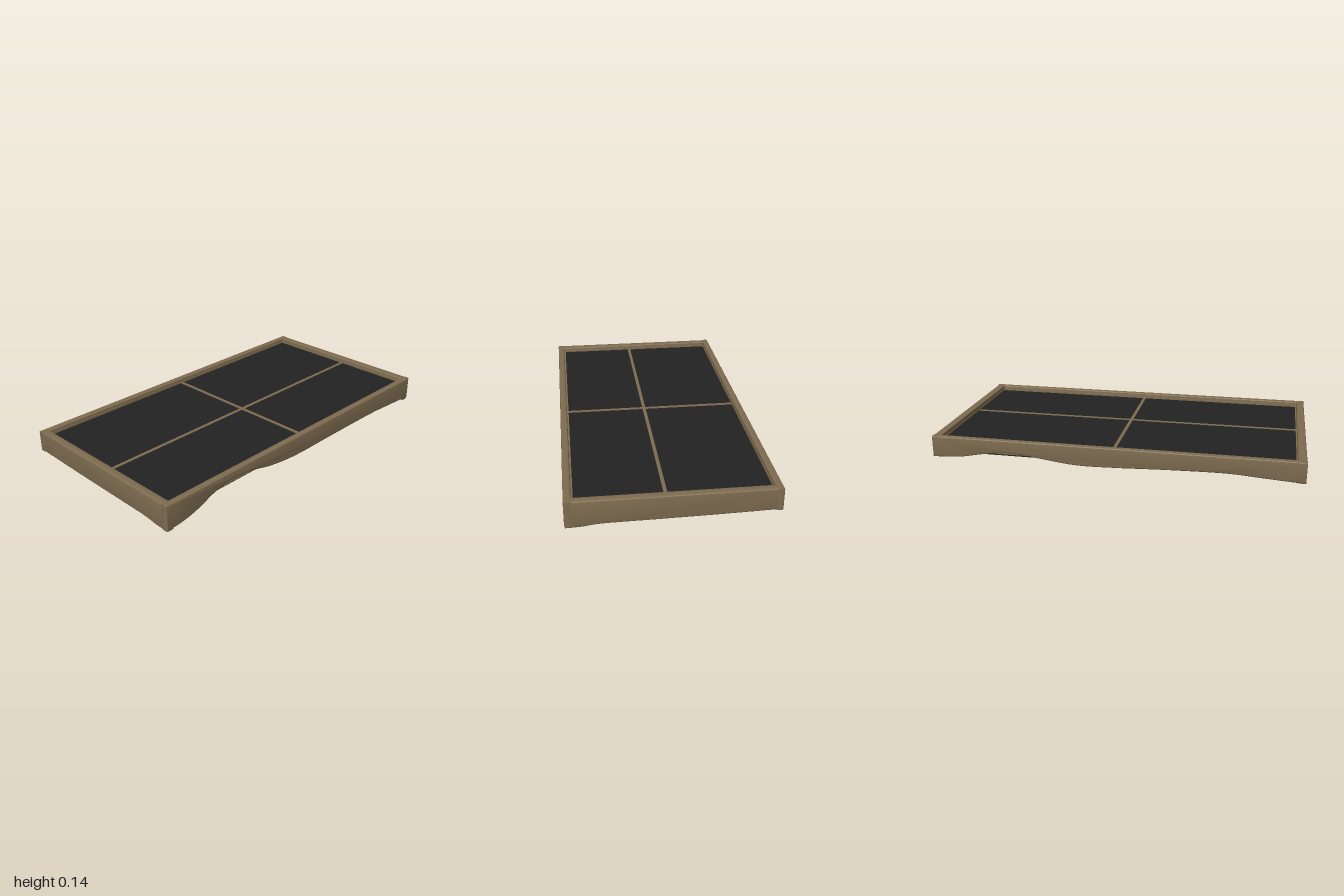
import * as THREE from 'three';
import { toCreasedNormals } from 'three/addons/utils/BufferGeometryUtils.js';

const TOP = 0.143;

// Wall cut from a plate: flat top, free-form lower edge, softly rounded corners
function wallGeometry(lowerEdge, thickness) {
  const curve = new THREE.SplineCurve(lowerEdge.map(([u, y]) => new THREE.Vector2(u, y)));
  const pts = curve.getPoints(48);
  const shape = new THREE.Shape();
  shape.moveTo(pts[0].x, TOP);
  pts.forEach((p) => shape.lineTo(p.x, p.y));
  shape.lineTo(pts[pts.length - 1].x, TOP);
  shape.closePath();
  const bevel = 0.007;
  const geo = new THREE.ExtrudeGeometry(shape, {
    depth: thickness - 2 * bevel, bevelEnabled: true, bevelThickness: bevel,
    bevelSize: bevel, bevelOffset: -bevel, bevelSegments: 3,
  });
  geo.translate(0, 0, bevel - thickness / 2);
  return toCreasedNormals(geo, 0.6);
}

export function createModel() {
  const model = new THREE.Group();
  model.name = 'framedPanel';
  const wood = new THREE.MeshStandardMaterial({ color: 0x7e6c50 });
  wood.name = 'brown frame';
  const dark = new THREE.MeshStandardMaterial({ color: 0x222222 });
  dark.name = 'dark panel';

  const add = (name, geo, mat) => {
    const mesh = new THREE.Mesh(geo, mat);
    mesh.name = name;
    model.add(mesh);
    return mesh;
  };
  const box = (name, mat, x0, x1, y0, y1, z0, z1) => {
    const mesh = add(name, new THREE.BoxGeometry(x1 - x0, y1 - y0, z1 - z0), mat);
    mesh.position.set((x0 + x1) / 2, (y0 + y1) / 2, (z0 + z1) / 2);
  };

  // Long side walls: lower edges given as [z, y], each with its own arch
  const leftEdge = [[-1, 0.01], [-0.8, 0.022], [-0.6, 0.032], [-0.2, 0.033], [0, 0.031], [0.15, 0.037],
    [0.3, 0.057], [0.43, 0.088], [0.55, 0.1], [0.68, 0.08], [0.8, 0.035], [0.9, 0.012], [1, 0.004]];
  const rightEdge = [[-1, 0.025], [-0.85, 0.033], [-0.7, 0.06], [-0.55, 0.075], [-0.4, 0.058],
    [-0.2, 0.035], [0, 0.036], [0.3, 0.047], [0.6, 0.052], [0.8, 0.04], [1, 0.028]];
  [['leftWall', leftEdge, 0.502], ['rightWall', rightEdge, -0.506]].forEach(([name, edge, x]) => {
    const mesh = add(name, wallGeometry(edge, 0.038).rotateY(-Math.PI / 2), wood);
    mesh.position.x = x;
  });

  // End walls: lower edges given as [x, y], sinking toward the left corner
  const endEdge = [[-0.52, 0.028], [-0.2, 0.021], [0.1, 0.017], [0.34, 0.014], [0.44, 0.004], [0.518, 0.001]];
  [['frontWall', 0.976], ['backWall', -0.977]].forEach(([name, z]) => {
    add(name, wallGeometry(endEdge, 0.045), wood).position.z = z;
  });

  // Inner lip holding the panels, seen through the arches
  box('innerLipLeft', wood, 0.474, 0.486, 0.054, 0.125, -0.96, 0.96);
  box('innerLipRight', wood, -0.49, -0.484, 0.054, 0.125, -0.96, 0.96);
  box('innerLipFront', wood, -0.488, 0.484, 0.054, 0.122, 0.947, 0.956);
  box('innerLipBack', wood, -0.488, 0.484, 0.054, 0.122, -0.957, -0.951);

  // Four dark panels and the crossing bars between them
  const cols = [[-0.486, 0.027], [0.045, 0.478]];
  const rows = [[-0.954, -0.009], [0.009, 0.95]];
  cols.forEach(([x0, x1]) => rows.forEach(([z0, z1]) => box('panel', dark, x0, x1, 0.046, 0.115, z0, z1)));
  box('lengthwiseBar', wood, 0.027, 0.045, 0.048, 0.118, -0.956, 0.952);
  box('crosswiseBar', wood, -0.488, 0.48, 0.047, 0.119, -0.009, 0.009);

  return model;
}
